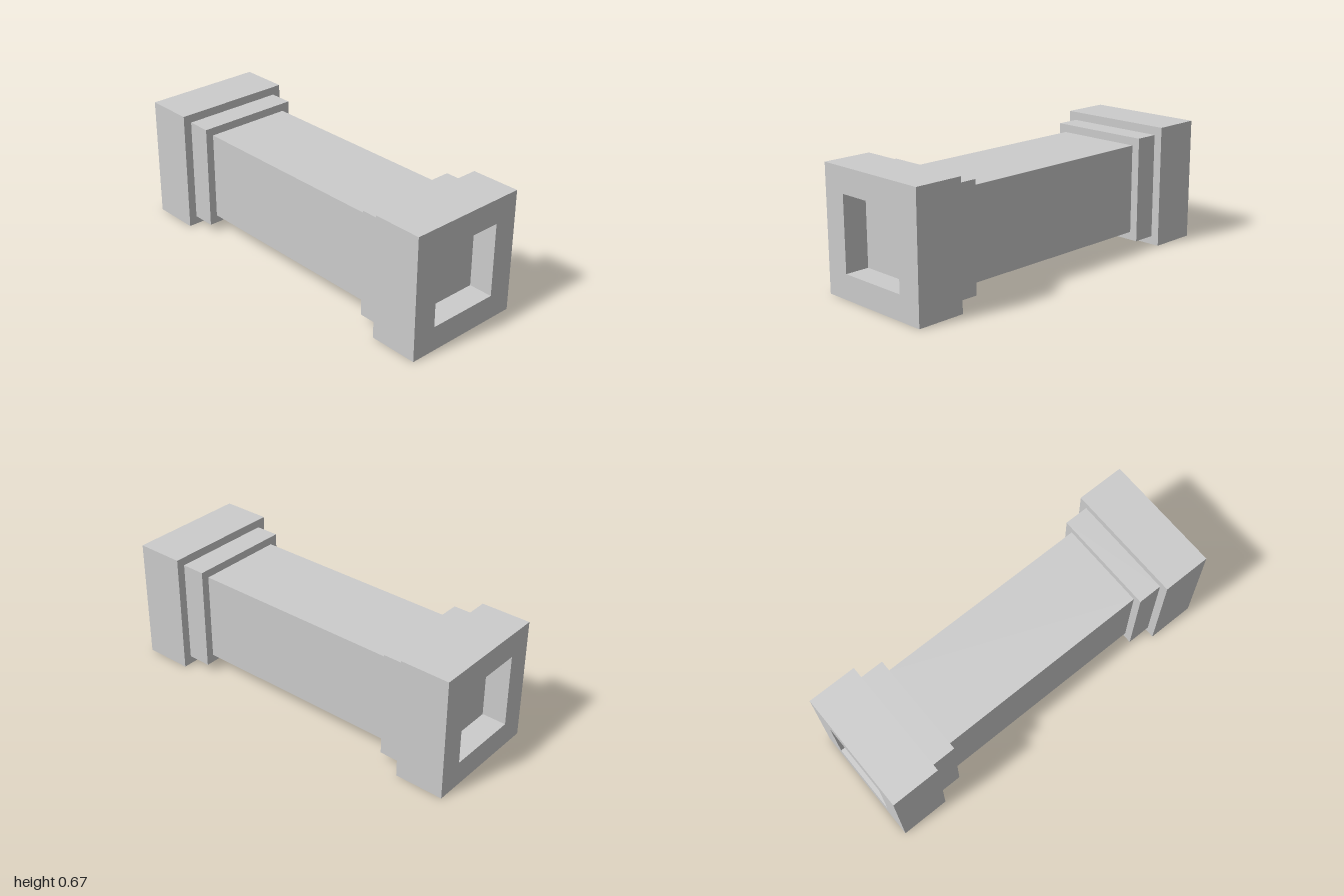
import * as THREE from 'three';

const material = new THREE.MeshStandardMaterial({ color: 0xcccccc, flatShading: true });
const END = 1, BLOCK_Z = 0.733, COLLAR_Z = 0.6, RECESS_Z = 0.867;
const BLOCK = 0.667, COLLAR = 0.575, SHAFT = 0.487, RECESS = 0.4;

// Square bar running along z between z0 and z1
function bar(name, size, z0, z1) {
  const mesh = new THREE.Mesh(new THREE.BoxGeometry(size, size, z1 - z0), material);
  mesh.name = name;
  mesh.position.z = (z0 + z1) / 2;
  return mesh;
}

// Adds a centred square outline to a shape or path
function square(path, size) {
  const h = size / 2;
  path.moveTo(-h, -h).lineTo(h, -h).lineTo(h, h).lineTo(-h, h).closePath();
  return path;
}

// Stepped end: collar, square block with a hole, and the recess floor
function createEnd(name) {
  const end = new THREE.Group();
  end.name = name;
  const outline = square(new THREE.Shape(), BLOCK);
  outline.holes.push(square(new THREE.Path(), RECESS));
  const block = new THREE.Mesh(
    new THREE.ExtrudeGeometry(outline, { depth: END - BLOCK_Z, bevelEnabled: false }),
    material
  );
  block.name = 'endBlock';
  block.position.z = BLOCK_Z;
  end.add(
    block,
    bar('recessFloor', RECESS, BLOCK_Z, RECESS_Z),
    bar('collar', COLLAR, COLLAR_Z, BLOCK_Z)
  );
  return end;
}

export function createModel() {
  const model = new THREE.Group();
  model.name = 'squareColumn';
  const body = new THREE.Group();
  body.name = 'columnBody';
  body.position.y = BLOCK / 2;

  // Shaft with the same end on both sides
  const back = createEnd('backEnd');
  back.rotation.y = Math.PI;
  body.add(bar('shaft', SHAFT, -COLLAR_Z, COLLAR_Z), createEnd('frontEnd'), back);

  model.add(body);
  return model;
}
